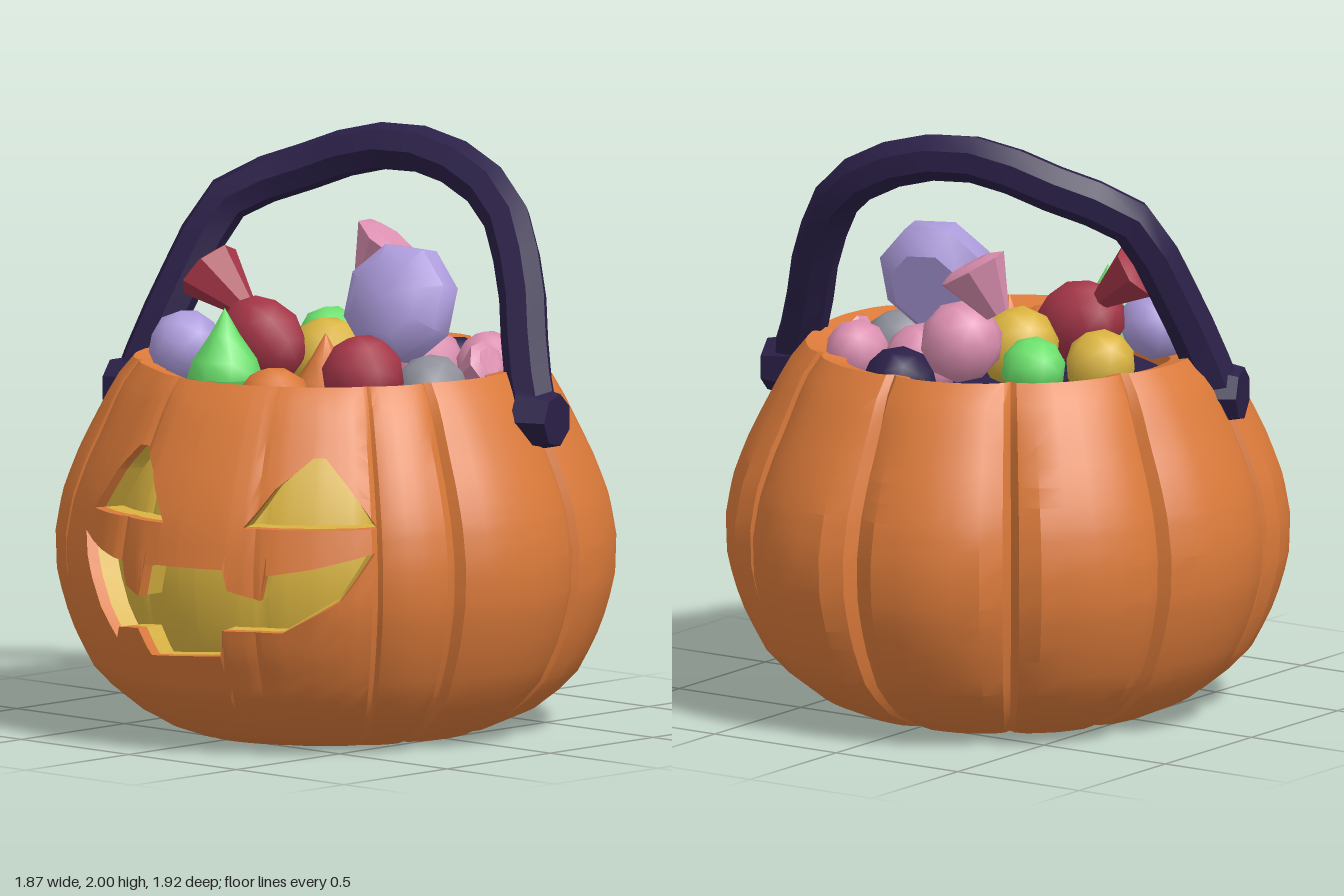
import * as THREE from 'three';
import { toCreasedNormals } from 'three/addons/utils/BufferGeometryUtils.js';

const mat = (name, color, side = THREE.FrontSide) => {
  const m = new THREE.MeshStandardMaterial({ color, side });
  m.name = name;
  return m;
};
const DEG = Math.PI / 180;

// piecewise linear lookup in a list of [key, value] pairs, clamped at the ends
function lookup(list, k) {
  if (k <= list[0][0]) return list[0][1];
  for (let i = 1; i < list.length; i++) {
    const [k0, v0] = list[i - 1], [k1, v1] = list[i];
    if (k <= k1) return v0 + (v1 - v0) * (k - k0) / Math.max(k1 - k0, 1e-6);
  }
  return list[list.length - 1][1];
}

// pumpkin surface: height profile times ribs; angles in degrees from +z toward +x
const PROFILE = [[0, 0.54], [0.04, 0.66], [0.12, 0.77], [0.2, 0.85], [0.35, 0.925], [0.5, 0.97],
  [0.65, 0.975], [0.78, 0.95], [0.9, 0.905], [1.0, 0.855], [1.12, 0.79], [1.2, 0.74], [1.24, 0.70]];
const CREASES = [[-180, 0.11], [-143, 0.11], [-108, 0.1], [-71, 0.1], [-43, 0.08], [-6, 0.025],
  [28, 0.015], [54, 0.04], [72, 0.09], [108, 0.1], [143, 0.11], [180, 0.11]];
const GROOVE = [[0, 1], [0.1, 0.5], [0.36, 0.15], [1, 0]];
const TOP = 1.24;

// groove strength at an angle, 0 on a lobe and about 0.1 in a deep crease
function groove(a) {
  let i = 0;
  while (i < CREASES.length - 2 && a > CREASES[i + 1][0]) i++;
  const [a0, d0] = CREASES[i], [a1, d1] = CREASES[i + 1];
  const u = (a - a0) / (a1 - a0);
  return (u < 0.5 ? d0 : d1) * lookup(GROOVE, 1 - Math.abs(2 * u - 1));
}
function radius(a, y) {
  const fade = y > 1 ? 1 - (y - 1) * 2 : 1;
  const flat = 0.05 * Math.exp(-(((a + 26) / 16) ** 2));
  return lookup(PROFILE, y) * (1 - groove(a) * fade - flat);
}
function point(a, y, scale = 1, yOut = y) {
  const r = radius(a, y) * scale;
  return [0.96 * r * Math.sin(a * DEG), yOut, r * Math.cos(a * DEG)];
}
// front-view x to surface angle
function angleAt(x, y) {
  let a = 0;
  for (let i = 0; i < 12; i++) {
    a = Math.asin(THREE.MathUtils.clamp(x / (0.96 * radius(a, y)), -1, 1)) / DEG;
  }
  return a;
}
const edge = (pts) => pts.map(([x, y]) => [angleAt(x, y), y]);

// carved face outlines, as lower and upper edges
const MOUTH_LOW = edge([[-0.35, 0.71], [-0.3, 0.59], [-0.23, 0.47], [-0.16, 0.37], [-0.135, 0.41], [-0.02, 0.42],
  [0.02, 0.33], [0.16, 0.34], [0.3, 0.35], [0.325, 0.44], [0.51, 0.44], [0.67, 0.55], [0.725, 0.71]]);
const MOUTH_HIGH = edge([[-0.35, 0.71], [-0.28, 0.685], [-0.085, 0.64], [-0.06, 0.565], [0.01, 0.535], [0.04, 0.64],
  [0.1, 0.65], [0.34, 0.65], [0.355, 0.58], [0.455, 0.55], [0.475, 0.635], [0.6, 0.66], [0.725, 0.71]]);
const EYE_LOW = edge([[-0.31, 0.79], [0.1, 0.79], [0.385, 0.79], [0.71, 0.79]]);
const EYE_HIGH = edge([[-0.31, 0.79], [-0.21, 0.93], [-0.125, 1.02], [-0.085, 1.02], [-0.01, 0.95], [0.1, 0.79],
  [0.385, 0.79], [0.45, 0.92], [0.52, 1.02], [0.55, 1.02], [0.63, 0.93], [0.71, 0.79]]);

// collects quads into one creased geometry
function quadBuilder() {
  const pos = [];
  const [A, B, C] = [0, 1, 2].map(() => new THREE.Vector3());
  const tri = (a, b, c) => {
    A.fromArray(a); B.fromArray(b); C.fromArray(c);
    if (B.sub(A).cross(C.sub(A)).length() > 1e-8) pos.push(...a, ...b, ...c);
  };
  return {
    quad(a, b, c, d) { tri(a, b, c); tri(a, c, d); },
    build(crease) {
      const g = new THREE.BufferGeometry();
      g.setAttribute('position', new THREE.Float32BufferAttribute(pos, 3));
      return toCreasedNormals(g, crease);
    },
  };
}

function columns() {
  const set = [];
  for (let i = 0; i < CREASES.length - 1; i++) {
    const a0 = CREASES[i][0], w = CREASES[i + 1][0] - a0;
    for (const u of [0, 0.05, 0.18, 0.34, 0.5, 0.66, 0.82, 0.95]) set.push(a0 + u * w);
  }
  set.push(180);
  for (const list of [MOUTH_LOW, MOUTH_HIGH, EYE_LOW, EYE_HIGH]) set.push(...list.map((p) => p[0]));
  set.sort((p, q) => p - q);
  return set.filter((a, i) => i === 0 || a - set[i - 1] > 1e-4);
}

function createPumpkin(orange, glow) {
  const skin = quadBuilder(), walls = quadBuilder(), rim = quadBuilder(), lining = quadBuilder();
  const cols = columns(), LIP = 0.955, DEPTH = 0.88;
  for (let i = 0; i < cols.length - 1; i++) {
    const a = cols[i], b = cols[i + 1];
    // skin bands below the mouth, between mouth and eyes, and above the eyes
    const bands = [[() => 0, (t) => lookup(MOUTH_LOW, t), 11],
      [(t) => lookup(MOUTH_HIGH, t), (t) => lookup(EYE_LOW, t), 2],
      [(t) => lookup(EYE_HIGH, t), () => TOP, 7]];
    for (const [lo, hi, n] of bands) {
      for (let k = 0; k < n; k++) {
        const y = (t, j) => lo(t) + (hi(t) - lo(t)) * j / n;
        skin.quad(point(a, y(a, k)), point(b, y(b, k)), point(b, y(b, k + 1)), point(a, y(a, k + 1)));
      }
    }
    // underside, with the creases running to the middle
    const under = (t, s) => point(t, 0, s, 0.05 * (1 - s) + groove(t) * 2.4 * s * (1 - s));
    for (const [s0, s1] of [[0, 0.3], [0.3, 0.65], [0.65, 1]]) {
      skin.quad(under(a, s0), under(b, s0), under(b, s1), under(a, s1));
    }
    // cut edges of the mouth and eyes: orange lip, then glowing inside
    for (const [low, high] of [[MOUTH_LOW, MOUTH_HIGH], [EYE_LOW, EYE_HIGH]]) {
      const open = (t) => lookup(high, t) - lookup(low, t) > 1e-4;
      if (!open(a) && !open(b)) continue;
      const l0 = lookup(low, a), l1 = lookup(low, b), h0 = lookup(high, a), h1 = lookup(high, b);
      for (const [builder, s, e] of [[walls, 1, LIP], [lining, LIP, DEPTH]]) {
        builder.quad(point(a, l0, s), point(b, l1, s), point(b, l1, e), point(a, l0, e));
        builder.quad(point(a, h0, e), point(b, h1, e), point(b, h1, s), point(a, h0, s));
      }
    }
    // rim turning into the opening
    const ring = [[1, TOP], [0.87, 1.215], [0.82, 1.04]];
    for (let k = 0; k < 2; k++) {
      const [s0, y0] = ring[k], [s1, y1] = ring[k + 1];
      rim.quad(point(a, TOP, s0, y0), point(b, TOP, s0, y0), point(b, TOP, s1, y1), point(a, TOP, s1, y1));
    }
    // glowing lining behind the face
    if (a > -50 && b < 70) {
      for (let k = 0; k < 8; k++) {
        const y0 = 0.25 + k * 0.1, y1 = y0 + 0.1;
        lining.quad(point(a, y0, DEPTH), point(b, y0, DEPTH), point(b, y1, DEPTH), point(a, y1, DEPTH));
      }
    }
  }
  const g = new THREE.Group();
  g.name = 'pumpkin';
  const parts = [['pumpkinSkin', skin, orange, 0.45], ['faceCutEdges', walls, orange, 0.4],
    ['rim', rim, orange, 0.5], ['glowLining', lining, glow, 0.6]];
  for (const [name, builder, m, crease] of parts) {
    const mesh = new THREE.Mesh(builder.build(crease), m);
    mesh.name = name;
    g.add(mesh);
  }
  return g;
}

export function createModel() {
  const orange = mat('pumpkin orange', 0xdb7a3a, THREE.DoubleSide);
  const purple = mat('dark purple', 0x2b2048);
  const yellow = mat('yellow', 0xdab441, THREE.DoubleSide);
  const red = mat('red', 0xa53648), pink = mat('pink', 0xdb8fb0), lavender = mat('lavender', 0xad9cdc);
  const green = mat('green', 0x6be06b), gray = mat('gray', 0x8f8f9a);
  const model = new THREE.Group();
  const add = (name, geo, m, p, rot = [0, 0, 0], s = [1, 1, 1]) => {
    const mesh = new THREE.Mesh(geo, m);
    mesh.name = name;
    mesh.position.set(...p);
    mesh.rotation.set(...rot);
    mesh.scale.set(...s);
    model.add(mesh);
  };
  const lathe = (pts, n) => new THREE.LatheGeometry(pts.map((p) => new THREE.Vector2(...p)), n);

  model.add(createPumpkin(orange, yellow));
  add('innerFloor', new THREE.CylinderGeometry(0.61, 0.5, 0.1, 24), purple, [0, 1.05, 0], [0, 0, 0], [0.95, 1, 1]);

  // handle arch, skewed across the opening, with end knobs
  const arch = new THREE.CatmullRomCurve3([[-0.7, 1.08, 0.25], [-0.655, 1.28, 0.18], [-0.6, 1.52, 0.07],
    [-0.54, 1.72, -0.04], [-0.33, 1.83, -0.18], [-0.07, 1.92, -0.28], [0.17, 1.9, -0.35], [0.41, 1.77, -0.37],
    [0.57, 1.52, -0.31], [0.67, 1.27, -0.23], [0.76, 1.09, -0.18]].map((p) => new THREE.Vector3(...p)));
  add('handle', toCreasedNormals(new THREE.TubeGeometry(arch, 18, 0.082, 7), 0.75), purple, [0, 0, 0]);
  const knob = toCreasedNormals(new THREE.CylinderGeometry(0.09, 0.115, 0.12, 7).rotateZ(-Math.PI / 2), 0.5);
  add('rightKnob', knob, purple, [-0.71, 1.1, 0.26], [0, Math.PI + 0.35, 0]);
  add('leftKnob', knob, purple, [0.78, 1.09, -0.19], [0, 0.24, 0]);

  // candies: round ones, pointed ones and wrapped twists
  const round = toCreasedNormals(new THREE.IcosahedronGeometry(1, 1), 0.9);
  const drop = toCreasedNormals(lathe([[0, -0.7], [0.7, -0.6], [1, -0.1], [0.85, 0.35], [0.4, 1], [0, 1.7]], 8), 0.9);
  const twist = toCreasedNormals(lathe([[0, -0.75], [0.35, -0.75], [1, 0.6], [0.6, 0.75], [0, 0.6]], 7), 0.6);
  const pillow = toCreasedNormals(lathe([[0, -0.1], [0.14, -0.1], [0.21, -0.03], [0.2, 0.05], [0.13, 0.11],
    [0, 0.12]], 8).rotateX(Math.PI / 2).rotateZ(0.4), 0.8);
  const candies = [
    ['yellowCandy', round, yellow, [-0.07, 1.23, -0.04], 0.14],
    ['yellowCandy', round, yellow, [-0.45, 1.23, -0.1], 0.12],
    ['grayCandy', round, gray, [0.43, 1.17, -0.02], 0.125],
    ['redCandy', round, red, [0.35, 1.24, 0.23], 0.14],
    ['lavenderCandy', round, lavender, [-0.36, 1.28, 0.35], 0.125],
    ['orangeCandy', round, orange, [0.13, 1.14, 0.43], 0.13],
    ['greenCandy', round, green, [-0.33, 1.24, -0.32], 0.11],
    ['darkCandy', round, purple, [0.13, 1.15, -0.45], 0.13],
    ['pinkCandy', round, pink, [-0.07, 1.31, -0.37], 0.14],
    ['pinkCandy', round, pink, [0.36, 1.22, -0.37], 0.11],
    ['pinkCandy', round, pink, [0.15, 1.2, -0.29], 0.13],
    ['greenDrop', drop, green, [-0.12, 1.22, 0.41], 0.13],
    ['orangeDrop', drop, orange, [0.11, 1.15, 0.16], 0.12],
  ];
  for (const [name, geo, m, p, s] of candies) add(name, geo, m, p, [0.2 * (geo === round), p[0] * 5, 0], [s, s, s]);
  add('redWrappedCandy', round, red, [-0.19, 1.3, 0.15], [0, 0, -0.4], [0.17, 0.14, 0.125]);
  add('redWrapperTwist', twist, red, [-0.38, 1.46, 0.14], [0.2, 0, 0.9], [0.11, 0.14, 0.125]);
  add('pinkWrapperTwist', twist, pink, [-0.18, 1.51, -0.4], [-0.2, 0, -0.5], [0.14, 0.13, 0.1]);
  add('pinkSideTwist', twist, pink, [0.42, 1.22, -0.25], [0, 0, -1.1], [0.08, 0.09, 0.08]);
  add('largeLavenderCandy', pillow, lavender, [0.23, 1.44, -0.08], [-0.3, 0.2, 0], [0.98, 1, 1]);
  return model;
}
